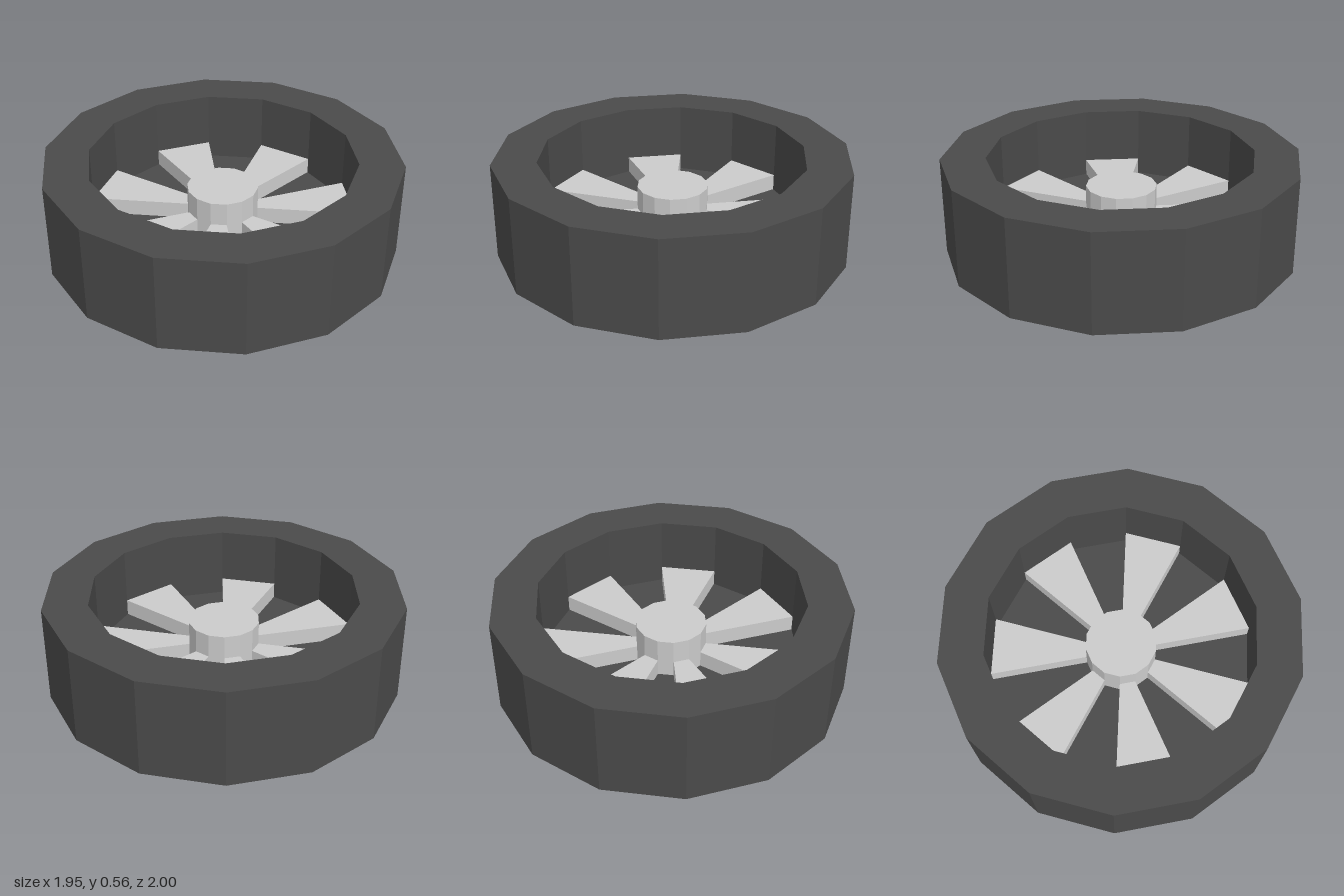
import * as THREE from 'three';

const SIDES = 14, SPOKES = 7;
const HEIGHT = 0.555, FLOOR = 0.14, SPOKE_TOP = 0.235, HUB_TOP = 0.37;
const OUTER = 1, INNER = 0.75, HUB = 0.2;

export function createModel() {
  const group = new THREE.Group();
  const rubber = new THREE.MeshStandardMaterial({ color: 0x4a4a4a, flatShading: true });
  const metal = new THREE.MeshStandardMaterial({ color: 0xcccccc, flatShading: true });

  const add = (name, geometry, material) => {
    const mesh = new THREE.Mesh(geometry, material);
    mesh.name = name;
    group.add(mesh);
    return mesh;
  };

  // Tyre: thick ring with a recessed floor and a closed underside
  const profile = [[0, 0], [OUTER, 0], [OUTER, HEIGHT], [INNER, HEIGHT], [INNER, FLOOR], [0, FLOOR]]
    .map(([r, y]) => new THREE.Vector2(r, y));
  add('tyre', new THREE.LatheGeometry(profile, SIDES), rubber);

  // Hub: short prism standing on the floor
  const hub = add('hub', new THREE.CylinderGeometry(HUB, HUB, HUB_TOP - FLOOR, SIDES), metal);
  hub.position.y = (HUB_TOP + FLOOR) / 2;

  // Spokes: flat wedges, each filling every second side of the wheel
  const half = Math.PI / SIDES;
  const corner = (r, a) => new THREE.Vector2(r * Math.cos(a), r * Math.sin(a));
  const wedge = new THREE.Shape([
    corner(HUB, -half), corner(INNER, -half), corner(INNER, half), corner(HUB, half),
  ]);
  const spokeGeometry = new THREE.ExtrudeGeometry(wedge, { depth: SPOKE_TOP - FLOOR, bevelEnabled: false });
  spokeGeometry.rotateX(-Math.PI / 2);
  for (let i = 0; i < SPOKES; i++) {
    const spoke = add('spoke', spokeGeometry, metal);
    spoke.position.y = FLOOR;
    spoke.rotation.y = (i * 2 * Math.PI) / SPOKES;
  }

  return group;
}
